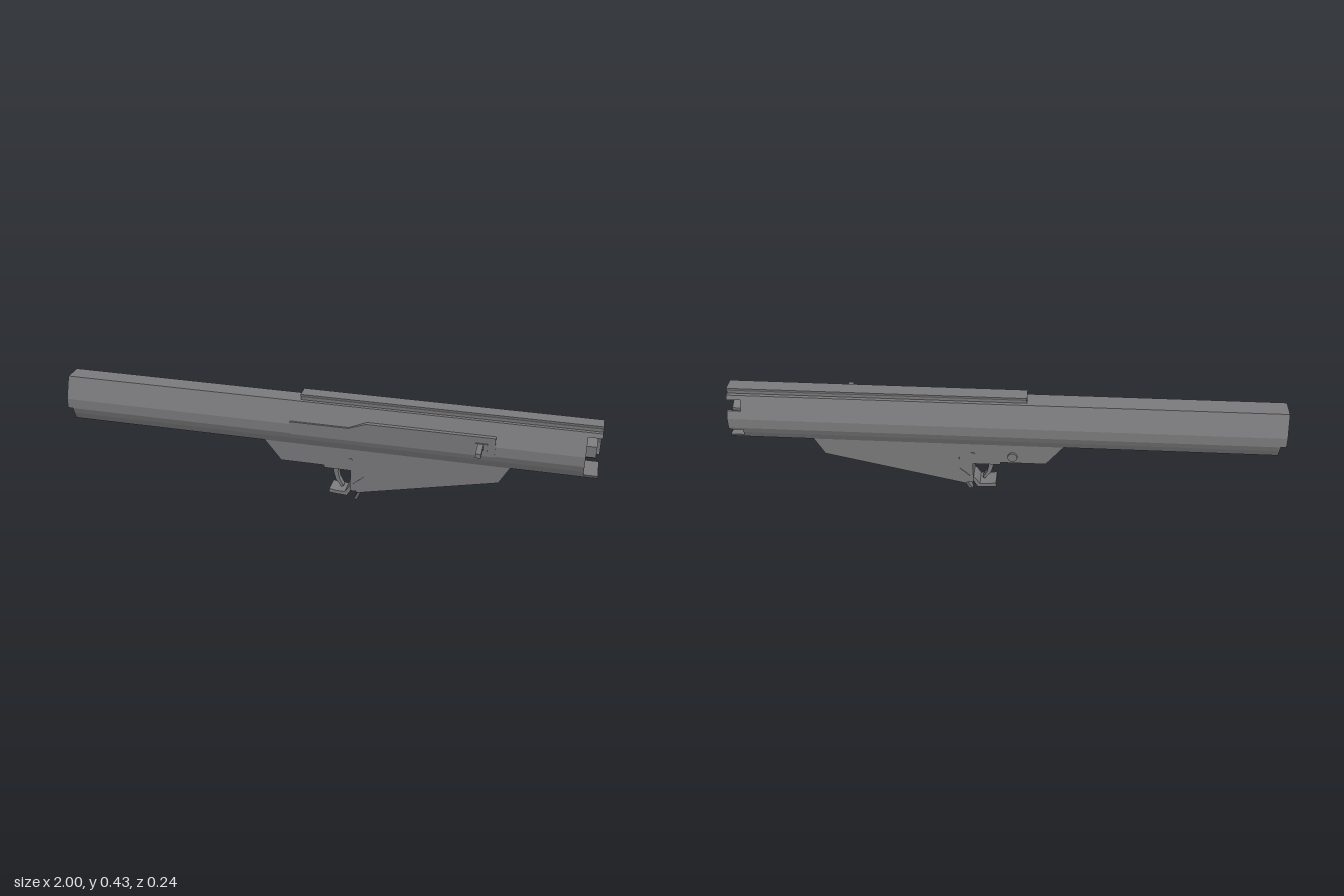
import * as THREE from 'three';

const CZ = -0.05; // centre plane of the long body

export function createModel() {
  const group = new THREE.Group();
  const grey = new THREE.MeshStandardMaterial({ color: 0x7b7b7d, flatShading: true });

  const add = (name, geo) => {
    const mesh = new THREE.Mesh(geo, grey);
    mesh.name = name;
    group.add(mesh);
    return mesh;
  };
  const shapeOf = (pts) => new THREE.Shape(pts.map(([a, b]) => new THREE.Vector2(a, b)));
  const extrude = (pts, depth) => new THREE.ExtrudeGeometry(shapeOf(pts), { depth, bevelEnabled: false });

  // (z, y) cross-section swept along x
  const alongX = (name, pts, x0, x1) => {
    const geo = extrude(pts.map(([z, y]) => [-z, y]), x1 - x0);
    geo.rotateY(Math.PI / 2).translate(x0, 0, 0);
    return add(name, geo);
  };
  // (x, y) side profile swept along z
  const alongZ = (name, pts, z0, z1) => add(name, extrude(pts, z1 - z0).translate(0, 0, z0));
  // half cross-section mirrored about the centre plane
  const mirrored = (half) => [
    ...half.map(([w, y]) => [CZ + w, y]),
    ...half.slice().reverse().map(([w, y]) => [CZ - w, y]),
  ];

  // Long faceted body
  alongX('upperBody', mirrored([[0.037, 0.404], [0.069, 0.322], [0.07, 0.285]]), -1, 0.95);
  alongX('lowerBody', mirrored([[0.07, 0.285], [0.062, 0.262], [0.05, 0.235]]), -0.98, 0.95);

  // Slotted open end: top and bottom lips, back tab and hexagonal core
  alongX('topLip', mirrored([[0.037, 0.404], [0.043, 0.388]]), 0.95, 1);
  alongX('bottomLip', mirrored([[0.056, 0.247], [0.05, 0.235]]), 0.95, 1);
  alongX('backTab', [[-0.12, 0.285], [-0.119, 0.322], [-0.108, 0.35], [-0.1, 0.35],
    [-0.11, 0.32], [-0.11, 0.285], [-0.107, 0.275], [-0.116, 0.275]], 0.95, 1);
  const hexagon = [];
  for (let i = 0; i < 6; i++) {
    const a = Math.PI / 6 + (i * Math.PI) / 3;
    hexagon.push([CZ + 0.042 * Math.cos(a), 0.329 + 0.042 * Math.sin(a)]);
  }
  alongX('hexCore', hexagon, 0.94, 0.985);

  // Flared top rail
  alongX('topRail', mirrored([[0.028, 0.427], [0.027, 0.421], [0.023, 0.414], [0.023, 0.402]]), -0.08, 1);

  // Stepped side cover and handle slot
  alongZ('sideCover', [[-0.11, 0.283], [0.64, 0.283], [0.64, 0.357], [0.175, 0.357],
    [0.11, 0.333], [-0.11, 0.333]], 0.003, 0.022);
  add('handleSeat', new THREE.BoxGeometry(0.046, 0.036, 0.006).translate(0.59, 0.315, 0.023));

  // Cranked side handle
  alongX('sideHandle', [[0.018, 0.309], [0.026, 0.309], [0.036, 0.314], [0.04, 0.323], [0.05, 0.325],
    [0.122, 0.326], [0.122, 0.342], [0.046, 0.343], [0.037, 0.338], [0.032, 0.325], [0.018, 0.32]]
    .map(([z, y]) => [z, y]), 0.579, 0.599);

  // Deep wedge housing under the body
  alongZ('wedgeHousing', [[0.165, 0.24], [0.165, 0.125], [0.125, 0.09], [0.14, 0.055],
    [0.66, 0.17], [0.70, 0.24]], -0.1, 0);

  // Control housing ahead of the wedge
  alongZ('controlHousing', [[-0.22, 0.24], [-0.152, 0.156], [0.013, 0.156], [0.013, 0.146],
    [0.115, 0.146], [0.115, 0.06], [0.138, 0.06], [0.125, 0.09], [0.165, 0.125], [0.165, 0.24]], -0.098, -0.002);

  // Pins and button on the control housing
  const disc = (name, r, x, y, z, h) =>
    add(name, new THREE.CylinderGeometry(r, r, h, 12).rotateX(Math.PI / 2).translate(x, y, z));
  disc('frontPin', 0.008, 0.115, 0.19, -0.001, 0.004);
  disc('backPin', 0.008, 0.115, 0.19, -0.099, 0.004);
  disc('backButton', 0.018, -0.03, 0.185, -0.1, 0.012);

  // Curved finger lever
  alongZ('fingerLever', [[0.04, 0.15], [0.042, 0.115], [0.052, 0.08], [0.074, 0.052], [0.082, 0.056],
    [0.066, 0.085], [0.06, 0.115], [0.064, 0.15]], CZ - 0.012, CZ + 0.012);

  // Lower guard
  alongZ('lowerGuard', [[0.03, 0.034], [0.1, 0.029], [0.118, 0.06], [0.115, 0.075], [0.105, 0.065],
    [0.092, 0.045], [0.06, 0.045], [0.032, 0.05]], CZ - 0.035, CZ + 0.035);

  // Tapered release tab
  const tab = extrude([[-0.031, 0.065], [-0.012, 0.003], [-0.008, 0], [0.008, 0], [0.012, 0.003], [0.031, 0.065]], 0.012);
  tab.rotateY(Math.PI / 2);
  const p = tab.attributes.position;
  for (let i = 0; i < p.count; i++) p.setX(i, p.getX(i) + 0.121 + p.getY(i) * 0.4);
  tab.translate(0, 0, CZ);
  tab.computeVertexNormals();
  add('releaseTab', tab);

  return group;
}
